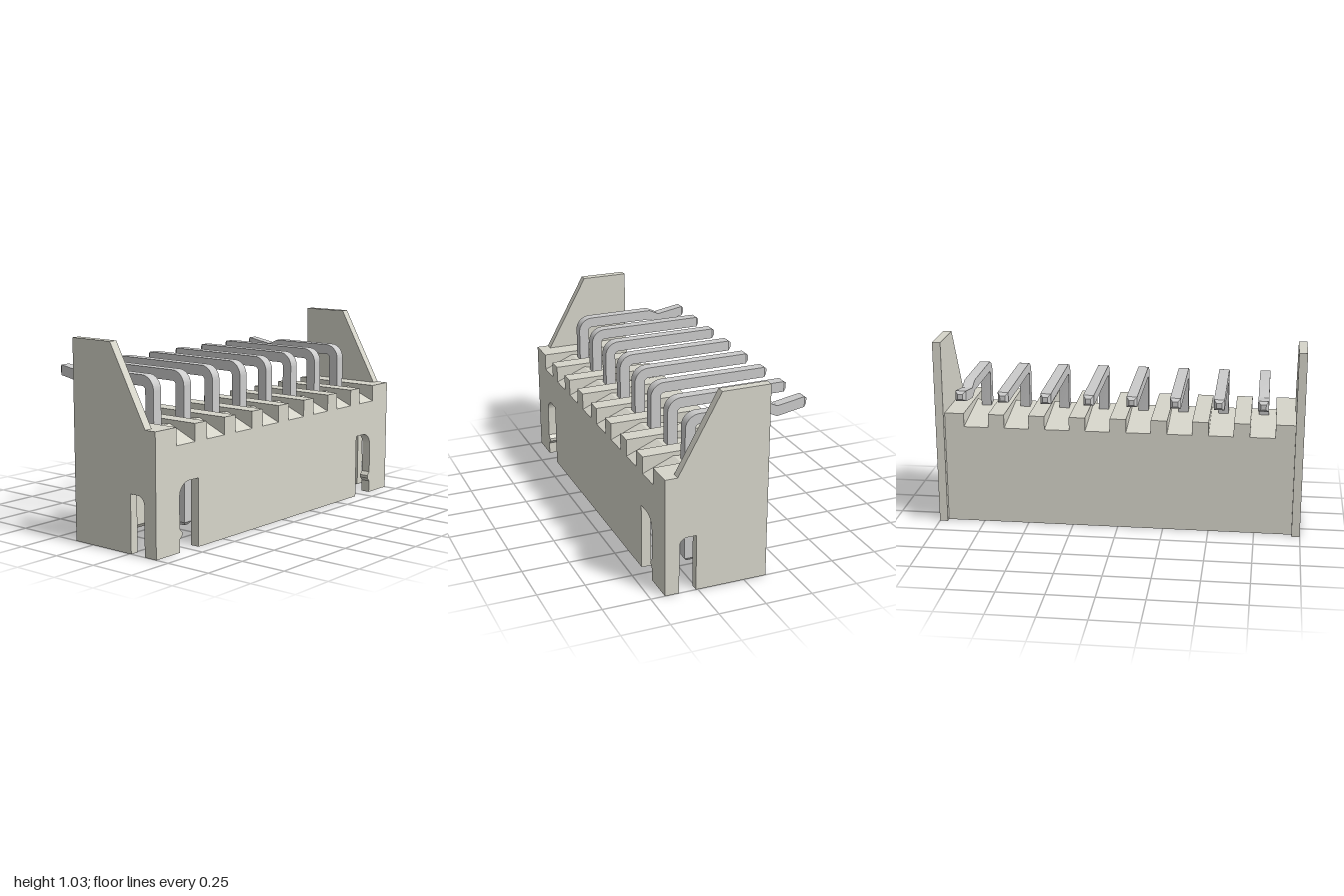
import * as THREE from 'three';
import { toCreasedNormals } from 'three/addons/utils/BufferGeometryUtils.js';

const PITCH = 0.2233, COUNT = 8, NOTCH = 0.135;
const FRONT = 0.425, BACK = -0.09, INNER = 0.955, TOP = 0.625, CEILING = 0.45, PIN = 0.055;

const plastic = new THREE.MeshStandardMaterial({ color: 0xd6d5ca });
const metal = new THREE.MeshStandardMaterial({ color: 0xcccccc });

function part(name, geometry, material) {
  const mesh = new THREE.Mesh(toCreasedNormals(geometry, 0.5), material);
  mesh.name = name;
  return mesh;
}

const polygon = (points) => new THREE.Shape(points.map(([a, b]) => new THREE.Vector2(a, b)));

// Extrude a (z, y) profile along x, between x0 and x1
function alongX(shape, x0, x1) {
  const geometry = new THREE.ExtrudeGeometry(shape, { depth: x1 - x0, bevelEnabled: false, curveSegments: 8 });
  return geometry.rotateY(-Math.PI / 2).translate(x1, 0, 0);
}

// Side plate with a raised, slanted ear and a rounded slot at the bottom
function sidePlate(side) {
  const s = polygon([[-0.12, 0], [-0.12, 1.03], [0.135, 1.03], [0.36, TOP], [FRONT, TOP], [FRONT, 0], [0.35, 0], [0.35, 0.255]]);
  s.absarc(0.305, 0.255, 0.045, 0, Math.PI / 2, false);
  s.lineTo(0.26, 0.3);
  s.lineTo(0.26, 0);
  const [x0, x1] = side > 0 ? [INNER, 1] : [-1, -INNER];
  return part(side > 0 ? 'leftSidePlate' : 'rightSidePlate', alongX(s, x0, x1), plastic);
}

// Front wall with two round-shouldered slots, each with a small catch on its outer edge
function frontWall() {
  const s = polygon([[-INNER, CEILING], [-INNER, 0], [-0.83, 0], [-0.83, 0.065], [-0.812, 0.085], [-0.812, 0.1], [-0.83, 0.12], [-0.83, 0.28]]);
  s.absarc(-0.76, 0.28, 0.07, Math.PI, Math.PI / 2, true);
  for (const [x, y] of [[-0.69, 0.35], [-0.69, 0], [0.69, 0], [0.69, 0.35], [0.76, 0.35]]) s.lineTo(x, y);
  s.absarc(0.76, 0.28, 0.07, Math.PI / 2, 0, true);
  for (const [x, y] of [[0.83, 0.12], [0.812, 0.1], [0.812, 0.085], [0.83, 0.065], [0.83, 0], [INNER, 0], [INNER, CEILING]]) s.lineTo(x, y);
  const depth = 0.05;
  const geometry = new THREE.ExtrudeGeometry(s, { depth, bevelEnabled: false, curveSegments: 8 });
  return part('frontWall', geometry.translate(0, 0, FRONT - depth), plastic);
}

// Roof: flat ribs alternating with notches that fall to the front and back
function roof() {
  const group = new THREE.Group();
  group.name = 'roof';
  const rib = polygon([[BACK, CEILING], [FRONT, CEILING], [FRONT, TOP], [BACK, TOP]]);
  const notch = polygon([[BACK, CEILING], [FRONT, CEILING], [FRONT, 0.535], [0.26, 0.605], [BACK, 0.55]]);
  let x = -INNER;
  for (let i = 0; i < COUNT; i++) {
    const start = (i - (COUNT - 1) / 2) * PITCH - NOTCH / 2;
    group.add(part('rib', alongX(rib, x, start), plastic));
    group.add(part('notchFloor', alongX(notch, start, start + NOTCH), plastic));
    x = start + NOTCH;
  }
  group.add(part('rib', alongX(rib, x, INNER), plastic));
  return group;
}

// Square pin bent at a right angle; the end pins have a kinked tail
function pin(x, kinked) {
  const group = new THREE.Group();
  group.name = kinked ? 'kinkedPin' : 'pin';
  const zFront = 0.24, zBack = zFront - PIN, yTop = 0.85, yLow = yTop - PIN, zEnd = -0.405, r = 0.075;
  const s = polygon([[zBack, 0.07], [zFront, 0.07], [zFront, yTop - r]]);
  s.absarc(zFront - r, yTop - r, r, 0, Math.PI / 2, false);
  if (kinked) for (const [z, y] of [[-0.2, yTop], [-0.255, yTop - 0.026]]) s.lineTo(z, y);
  s.lineTo(zEnd, yTop);
  s.lineTo(zEnd, yLow);
  if (kinked) for (const [z, y] of [[-0.255, yLow - 0.026], [-0.2, yLow]]) s.lineTo(z, y);
  s.lineTo(zFront - r, yLow);
  s.absarc(zFront - r, yTop - r, r - PIN, Math.PI / 2, 0, true);
  group.add(part('bentBar', alongX(s, -PIN / 2, PIN / 2), metal));

  // Chamfered tips
  const tip = () => new THREE.CylinderGeometry(PIN * Math.SQRT1_2, PIN * 0.35, 0.018, 4).rotateY(Math.PI / 4);
  group.add(part('lowerTip', tip().translate(0, 0.061, zFront - PIN / 2), metal));
  group.add(part('tailTip', tip().rotateX(Math.PI / 2).translate(0, yTop - PIN / 2, zEnd - 0.009), metal));
  group.position.x = x;
  return group;
}

export function createModel() {
  const model = new THREE.Group();
  model.name = 'angledPinHeader';

  // Housing, open at the bottom
  const backProfile = polygon([[BACK, 0], [BACK + 0.03, 0], [BACK + 0.045, 0.02], [BACK + 0.045, CEILING], [BACK, CEILING]]);
  model.add(sidePlate(1), sidePlate(-1), frontWall(), roof());
  model.add(part('backWall', alongX(backProfile, -INNER, INNER), plastic));

  // Row of pins
  for (let i = 0; i < COUNT; i++) {
    model.add(pin((i - (COUNT - 1) / 2) * PITCH, i === 0 || i === COUNT - 1));
  }
  return model;
}
